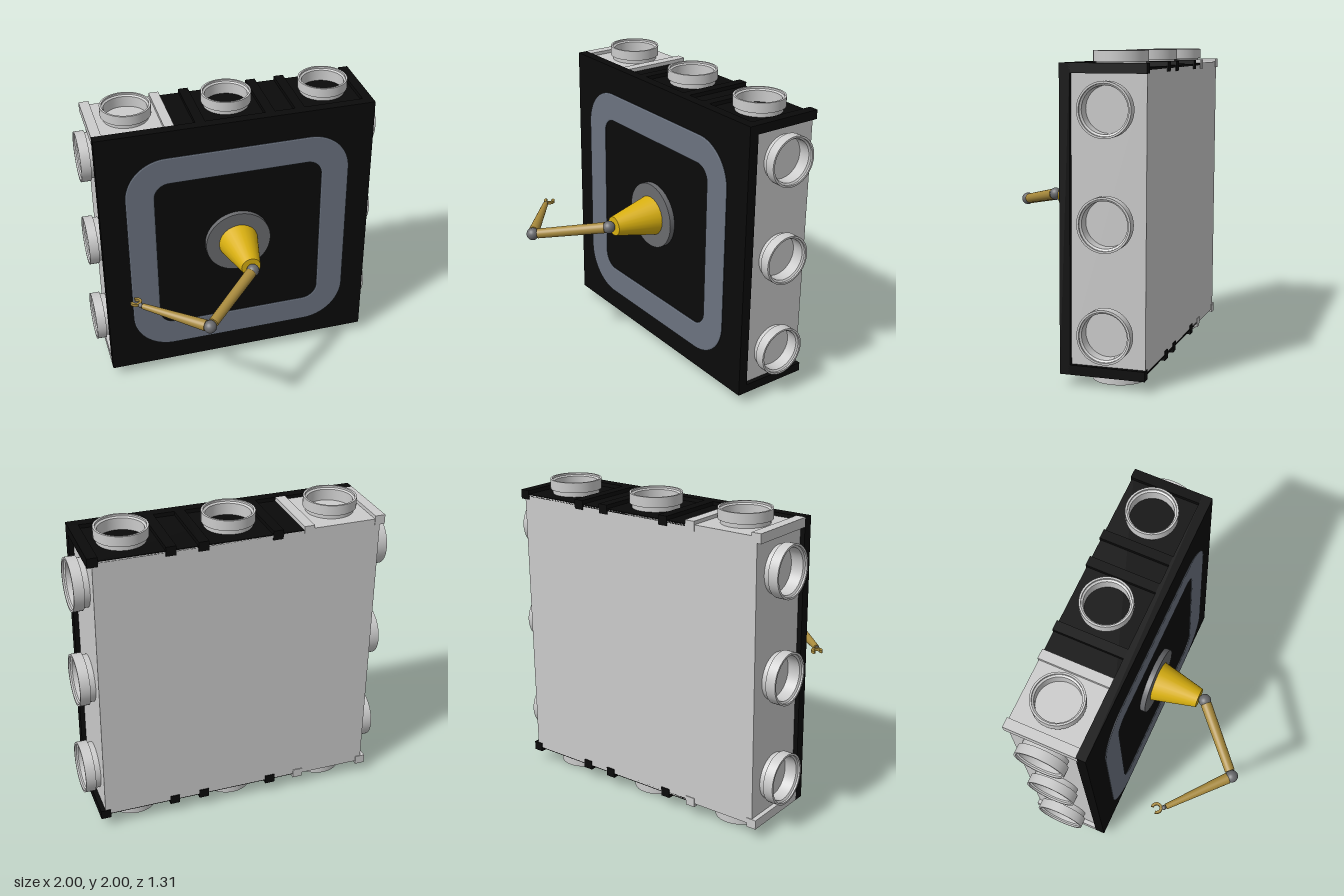
import * as THREE from 'three';

const mat = (color, side = THREE.FrontSide) => new THREE.MeshStandardMaterial({ color, side });
const grey = mat(0xcccccc);
const black = mat(0x0a0a0a);
const slate = mat(0x6b7380);
const steel = mat(0x6a6b6e);
const yellow = mat(0xd9b010);
const bronze = mat(0xa88a3c);

// Rounded square outline centred on the origin
function roundedSquare(target, h, r) {
  target.moveTo(-h + r, -h);
  target.lineTo(h - r, -h);
  target.absarc(h - r, -h + r, r, -Math.PI / 2, 0);
  target.lineTo(h, h - r);
  target.absarc(h - r, h - r, r, 0, Math.PI / 2);
  target.lineTo(-h + r, h);
  target.absarc(-h + r, h - r, r, Math.PI / 2, Math.PI);
  target.lineTo(-h, -h + r);
  target.absarc(-h + r, -h + r, r, Math.PI, Math.PI * 1.5);
  return target;
}

export function createModel() {
  const model = new THREE.Group();
  const add = (name, geometry, material, x = 0, y = 0, z = 0) => {
    const mesh = new THREE.Mesh(geometry, material);
    mesh.name = name;
    mesh.position.set(x, y, z);
    model.add(mesh);
    return mesh;
  };
  // Box given by its limits
  const box = (name, material, x0, x1, y0, y1, z0, z1) =>
    add(name, new THREE.BoxGeometry(x1 - x0, y1 - y0, z1 - z0), material,
      (x0 + x1) / 2, (y0 + y1) / 2, (z0 + z1) / 2);
  // Tapered round rod between two points
  const rod = (name, material, a, b, ra, rb) => {
    const dir = b.clone().sub(a);
    const mesh = add(name, new THREE.CylinderGeometry(rb, ra, dir.length(), 24), material);
    mesh.position.copy(a).lerp(b, 0.5);
    mesh.quaternion.setFromUnitVectors(new THREE.Vector3(0, 1, 0), dir.normalize());
    return mesh;
  };

  // Housing
  box('body', grey, -0.9, 0.9, 0.1, 1.9, -0.65, -0.15);
  box('frontPanel', black, -0.93, 0.93, 0.07, 1.93, -0.19, -0.125);

  // Top and bottom cover plates with raised ribs beside each port
  const centres = [-0.665, 0, 0.665];
  for (const s of [-1, 1]) {
    const slab = (name, material, x0, x1, d0, d1, z0) => {
      const ys = [1 + s * d0, 1 + s * d1].sort((a, b) => a - b);
      box(name, material, x0, x1, ys[0], ys[1], z0, -0.18);
    };
    slab('blackCover', black, -0.4, 0.9, 0.89, 0.905, -0.65);
    slab('greyCover', grey, -0.9, -0.4, 0.89, 0.908, -0.65);
    for (const c of centres) {
      const m = c < 0 ? grey : black;
      slab('rib', m, c - 0.265, c - 0.2, 0.87, 0.93, -0.655);
      slab('rib', m, c + 0.2, c + 0.265, 0.87, 0.93, -0.655);
    }
  }

  // Collared ports, three on each of the four edges
  const profile = [[0.15, 0], [0.15, 0.055], [0.165, 0.055], [0.165, 0.12],
    [0.152, 0.12], [0.152, 0.108], [0.14, 0.1], [0.14, 0]];
  // Split at every corner so the edges stay sharp
  const points = profile.flatMap(([r, y]) => [new THREE.Vector2(r, y), new THREE.Vector2(r, y)]).slice(1, -1);
  const portParts = [];
  for (let i = 0; i < points.length; i += 2) {
    portParts.push(new THREE.LatheGeometry([points[i], points[i + 1]], 48));
  }
  const portMaterial = mat(0xcccccc, THREE.DoubleSide);
  for (let side = 0; side < 4; side++) {
    for (const c of centres) {
      const port = new THREE.Group();
      port.name = 'port';
      for (const g of portParts) {
        const mesh = new THREE.Mesh(g, portMaterial);
        mesh.name = 'portWall';
        port.add(mesh);
      }
      const a = side * Math.PI / 2;
      port.rotation.z = a;
      port.position.set(-Math.sin(a) * 0.88 + Math.cos(a) * c,
        1 + Math.cos(a) * 0.88 + Math.sin(a) * c, -0.42);
      model.add(port);
    }
  }

  // Thin rounded frame held just ahead of the front panel
  const frame = roundedSquare(new THREE.Shape(), 0.752, 0.27);
  frame.holes.push(roundedSquare(new THREE.Path(), 0.578, 0.11));
  add('frontFrame', new THREE.ExtrudeGeometry(frame, {
    depth: 0.004, bevelThickness: 0.003, bevelSize: 0.008, bevelSegments: 1, curveSegments: 16,
  }), slate, 0, 0.99, -0.107);

  // Round arm mount
  const disc = add('mountDisc', new THREE.CylinderGeometry(0.225, 0.225, 0.035, 64), steel, -0.01, 1.022, -0.106);
  disc.rotation.x = Math.PI / 2;
  const v = (x, y, z) => new THREE.Vector3(x, y, z);
  rod('mountCone', yellow, v(-0.01, 1.022, -0.09), v(-0.01, 1.022, 0.21), 0.136, 0.065);

  // Jointed arm
  const shoulder = v(-0.01, 1.025, 0.25);
  const elbow = v(-0.395, 0.925, 0.61);
  const wrist = v(-0.77, 0.928, 0.285);
  const ball = (name, p, r) => add(name, new THREE.SphereGeometry(r, 24, 16), steel, p.x, p.y, p.z);
  ball('shoulderJoint', shoulder, 0.042);
  ball('elbowJoint', elbow, 0.042);
  ball('wristJoint', wrist, 0.016);
  const along = (a, b, t) => a.clone().lerp(b, t);
  rod('upperArm', bronze, along(shoulder, elbow, 0.05), along(shoulder, elbow, 0.93), 0.037, 0.033);
  rod('forearm', bronze, along(elbow, wrist, 0.06), along(elbow, wrist, 0.97), 0.037, 0.019);

  // Open claw at the end of the arm, in the horizontal plane
  const gap = 0.75;
  const claw = new THREE.Shape();
  claw.absarc(0, 0, 0.038, gap, Math.PI * 2 - gap, false);
  claw.absarc(0, 0, 0.02, Math.PI * 2 - gap, gap, true);
  const clawGeometry = new THREE.ExtrudeGeometry(claw, { depth: 0.018, bevelEnabled: false, curveSegments: 24 });
  clawGeometry.translate(0, 0, -0.009).rotateX(-Math.PI / 2);
  const clawMesh = add('claw', clawGeometry, bronze, -0.792, 0.928, 0.243);
  clawMesh.rotation.y = Math.PI - 0.7;
  rod('clawStem', bronze, wrist, v(-0.782, 0.928, 0.268), 0.01, 0.01);

  return model;
}
